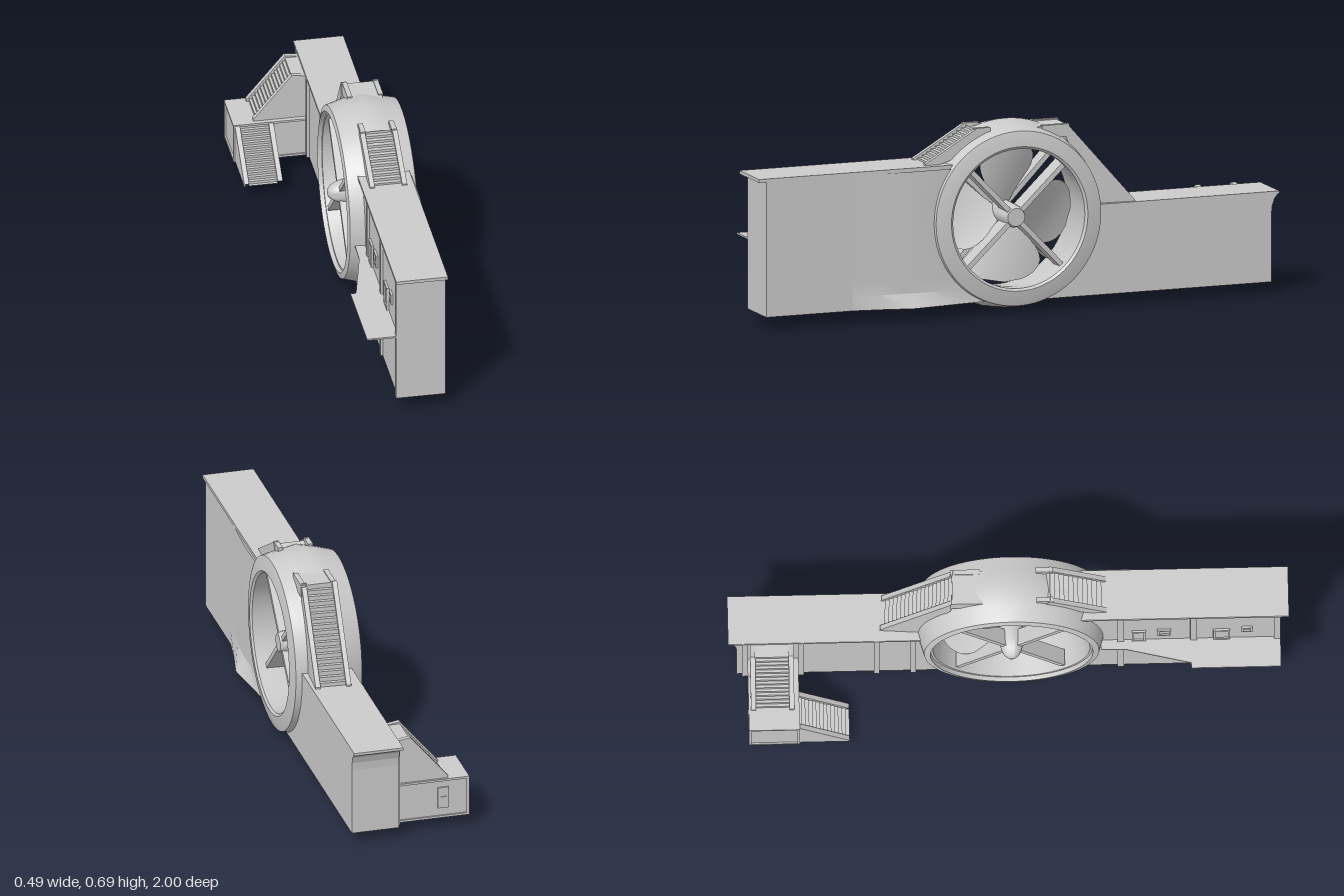
import * as THREE from 'three';
import { toCreasedNormals } from 'three/addons/utils/BufferGeometryUtils.js';
import { ParametricGeometry } from 'three/addons/geometries/ParametricGeometry.js';

const grey = new THREE.MeshStandardMaterial({ color: 0xcccccc });
const greyThin = new THREE.MeshStandardMaterial({ color: 0xcccccc, side: THREE.DoubleSide });
const CY = 0.345, CZ = 0.01; // ring axis

function add(parent, name, geo, mat = grey) {
  const m = new THREE.Mesh(geo, mat);
  m.name = name;
  parent.add(m);
  return m;
}

// box given by its min and max corners
function box(parent, name, [x0, y0, z0], [x1, y1, z1]) {
  const m = add(parent, name, new THREE.BoxGeometry(x1 - x0, y1 - y0, z1 - z0));
  m.position.set((x0 + x1) / 2, (y0 + y1) / 2, (z0 + z1) / 2);
}

const poly = pts => new THREE.Shape(pts.map(p => new THREE.Vector2(p[0], p[1])));

// extrude a (z, y) profile between x0 and x1
function sideExtrude(shape, x0, x1) {
  const g = new THREE.ExtrudeGeometry(shape, { depth: x1 - x0, bevelEnabled: false, curveSegments: 32 });
  return g.rotateY(-Math.PI / 2).translate(x1, 0, 0);
}

// revolve an (x, radius) profile around the ring axis
function turned(profile, segments) {
  const g = new THREE.LatheGeometry(profile.map(([x, r]) => new THREE.Vector2(r, x)), segments);
  return toCreasedNormals(g.rotateZ(-Math.PI / 2), 0.65).translate(0, CY, CZ);
}

// flight of steps with raised stringers; top, bottom and under are [run, y] points
function stairs(name, top, bottom, under, width, n) {
  const g = new THREE.Group();
  g.name = name;
  const du = (bottom[0] - top[0]) / n, dy = (bottom[1] - top[1]) / n, pts = [];
  for (let i = 0; i < n; i++) {
    const u = top[0] + du * i, y = top[1] + dy * i;
    pts.push([u, y], [u, y + dy]);
  }
  pts.push(bottom, ...under);
  const h = width / 2, t = 0.018;
  add(g, 'steps', sideExtrude(poly(pts), -h + t, h - t));
  const rail = poly([[top[0], top[1] + 0.008], [bottom[0], bottom[1] + 0.008], ...under]);
  for (const s of [-1, 1]) {
    const c = s * (h - t / 2);
    add(g, 'stringer', sideExtrude(rail, c - t / 2, c + t / 2));
  }
  return g;
}

// raised frame with an inset panel on the -x face of a wall
function framedPanel(parent, name, y0, y1, z0, z1) {
  const f = 0.008, x = 0.02, d = 0.034;
  box(parent, name, [x + 0.005, y0 + f, z0 + f], [d, y1 - f, z1 - f]);
  box(parent, name + 'Frame', [x, y0, z0], [d, y1, z0 + f]);
  box(parent, name + 'Frame', [x, y0, z1 - f], [d, y1, z1]);
  box(parent, name + 'Frame', [x, y0, z0], [d, y0 + f, z1]);
  box(parent, name + 'Frame', [x, y1 - f, z0], [d, y1, z1]);
}

export function createModel() {
  const root = new THREE.Group();
  root.name = 'fanWall';

  // duct ring
  add(root, 'ductRing', turned([
    [-0.03, 0.29], [-0.024, 0.312], [0.03, 0.328], [0.095, 0.343], [0.16, 0.331], [0.222, 0.317],
    [0.225, 0.308], [0.232, 0.262], [0.225, 0.253], [0.17, 0.256], [0.07, 0.268],
    [-0.014, 0.28], [-0.014, 0.288], [-0.03, 0.29]], 72));

  // hub, propeller and a row of struts on each side of it
  add(root, 'hub', turned([
    [-0.05, 0.0001], [-0.047, 0.013], [-0.036, 0.026], [-0.018, 0.036], [0.01, 0.043],
    [0.05, 0.044], [0.18, 0.04], [0.2, 0.033], [0.2, 0.0001]], 24));
  // blade swept towards one side, twisting from root to tip
  const bladeGeo = new ParametricGeometry((u, v, p) => {
    const r = 0.025 + 0.23 * u;
    const s = (v - 0.5 - 0.06 * u) * 0.3 * (0.14 + 0.86 * Math.sin(Math.min(1, u * 1.3) * Math.PI / 2))
      * Math.sqrt(Math.max(0, 1 - u ** 5));
    const pitch = 0.7 - 0.4 * u;
    p.set(s * Math.sin(pitch), r, s * Math.cos(pitch));
  }, 20, 10);
  for (let i = 0; i < 4; i++) {
    const a = i * Math.PI / 2;
    const blade = add(root, 'propellerBlade', bladeGeo, greyThin);
    blade.position.set(0.085, CY, CZ);
    blade.rotation.x = a;
    for (const [x, width, turn] of [[0.02, 0.06, 0.02], [0.155, 0.075, -0.02]]) {
      const strut = add(root, 'strut', new THREE.BoxGeometry(width, 0.24, 0.018).translate(0, 0.145, 0));
      strut.position.set(x, CY, CZ);
      strut.rotation.x = a + Math.PI / 4 + turn;
    }
  }

  // tall front wall, cut round where it meets the ring
  const R = 0.31, tall = new THREE.Shape();
  tall.moveTo(0.97, 0.05);
  tall.lineTo(0.97, 0.545);
  tall.absarc(CZ, CY, R, Math.asin(0.2 / R), Math.asin(-0.295 / R), true);
  add(root, 'tallWall', sideExtrude(tall, 0.028, 0.2));
  box(root, 'tallWallCap', [0.015, 0.541, 0.25], [0.203, 0.553, 1]);

  // low back wall with a flared cornice at its end
  const low = new THREE.Shape();
  low.moveTo(-0.97, 0.042);
  for (const p of [[-0.97, 0.29], [-0.973, 0.32], [-0.982, 0.345], [-0.997, 0.362], [-1, 0.37]]) low.lineTo(...p);
  low.absarc(CZ, CY, R, Math.PI - Math.asin(0.025 / R), Math.PI + Math.asin(0.303 / R), false);
  add(root, 'lowWall', sideExtrude(low, 0.026, 0.2));
  box(root, 'lowWallCap', [0.018, 0.36, -1], [0.2, 0.37, -0.31]);

  // bulged wall skin with a flared foot, trimmed round the ring: rows of [z, foot x, wall x]
  const sections = [[0.64, 0.2, 0.2], [0.53, 0.218, 0.205], [0.42, 0.243, 0.21], [0.33, 0.232, 0.21],
    [0.24, 0.22, 0.208], [0.1, 0.205, 0.206]];
  const heights = [0.1, 0.15, 0.2, 0.27, 0.345, 0.42, 0.48, 0.541];
  const pos = [], idx = [], rows = heights.length + 2;
  for (const [z, foot, wall] of sections)
    for (const [x, y] of [[0.15, 0.05], [foot, 0.05], ...heights.map(h => [wall, h])])
      pos.push(x, y, Math.max(z, CZ + Math.sqrt(Math.max(0, 0.09 - (y - CY) ** 2))));
  for (let i = 0; i < sections.length - 1; i++)
    for (let j = 0; j < rows - 1; j++) {
      const a = i * rows + j, b = a + rows;
      idx.push(a, b, a + 1, b, b + 1, a + 1);
    }
  const bulge = new THREE.BufferGeometry();
  bulge.setAttribute('position', new THREE.Float32BufferAttribute(pos, 3));
  bulge.setIndex(idx);
  add(root, 'wallBulge', toCreasedNormals(bulge, 0.4), greyThin);

  // walkway shelf along the tall wall
  const shelf = poly([[0.04, 0.97], [-0.085, 0.97], [-0.085, 0.65], [-0.065, 0.65], [-0.01, 0.42], [-0.008, 0.33], [0.04, 0.33]]);
  add(root, 'walkway', new THREE.ExtrudeGeometry(shelf, { depth: 0.006, bevelEnabled: false })
    .rotateX(Math.PI / 2).translate(0, 0.308, 0));

  // wall ribs, doors and windows
  for (const z of [0.4, 0.66, 0.958]) box(root, 'wallRib', [0.02, 0.05, z - 0.012], [0.035, 0.545, z + 0.012]);
  for (const z of [-0.47, -0.34, -0.74, -0.94]) box(root, 'wallRib', [0.016, 0.042, z - 0.01], [0.03, 0.368, z + 0.01]);
  framedPanel(root, 'door', 0.31, 0.4, 0.44, 0.49);
  framedPanel(root, 'door', 0.31, 0.4, 0.73, 0.79);
  framedPanel(root, 'window', 0.36, 0.41, 0.53, 0.58);
  framedPanel(root, 'window', 0.38, 0.42, 0.83, 0.87);

  // stairs over the ring and the small platform on its crown
  const front = stairs('ringFrontStairs', [0.15, 0.667], [0.35, 0.55], [[0.35, 0.535], [0.24, 0.57], [0.12, 0.63]], 0.135, 12);
  front.position.x = 0.11;
  const back = stairs('ringBackStairs', [-0.2, 0.66], [-0.455, 0.368], [[-0.455, 0.36], [-0.325, 0.36], [-0.26, 0.49], [-0.2, 0.61]], 0.13, 18);
  back.position.set(0.092, 0, 0);
  back.rotation.y = -0.07;
  root.add(front, back);
  box(root, 'crownPlatform', [0.045, 0.625, -0.2], [0.17, 0.662, -0.05]);
  for (const x of [0.045, 0.157]) {
    box(root, 'platformKerb', [x, 0.62, -0.205], [x + 0.018, 0.666, -0.1]);
    box(root, 'platformKerb', [x, 0.62, 0.1], [x + 0.018, 0.674, 0.16]);
  }

  // side landing with its door
  box(root, 'landing', [-0.24, 0.045, -0.925], [0.03, 0.187, -0.755]);
  box(root, 'landingTop', [-0.246, 0.185, -0.931], [0.03, 0.193, -0.75]);
  box(root, 'landingBase', [-0.246, 0.042, -0.931], [0.03, 0.05, -0.75]);
  for (const z of [-0.931, -0.758]) box(root, 'landingPost', [-0.246, 0.042, z], [-0.236, 0.193, z + 0.008]);
  box(root, 'landingDoor', [-0.17, 0.08, -0.931], [-0.13, 0.16, -0.92]);
  box(root, 'landingDoorPanel', [-0.16, 0.09, -0.934], [-0.14, 0.125, -0.92]);

  // open flight from the ground to the landing with one closed side
  const lower = stairs('lowerStairs', [-0.755, 0.185], [-0.572, 0.045], [[-0.59, 0.042], [-0.755, 0.168]], 0.14, 14);
  lower.position.x = -0.17;
  add(root, 'lowerStairsSide', sideExtrude(poly([[-0.755, 0.185], [-0.572, 0.045], [-0.755, 0.045]]), -0.24, -0.234));

  // flight from the landing up to the low wall
  const upper = stairs('upperStairs', [0.03, 0.36], [0.17, 0.192], [[0.17, 0.185], [-0.025, 0.185], [-0.025, 0.36]], 0.155, 14);
  upper.rotation.y = -Math.PI / 2;
  upper.position.z = -0.845;
  root.add(lower, upper);

  return root;
}
